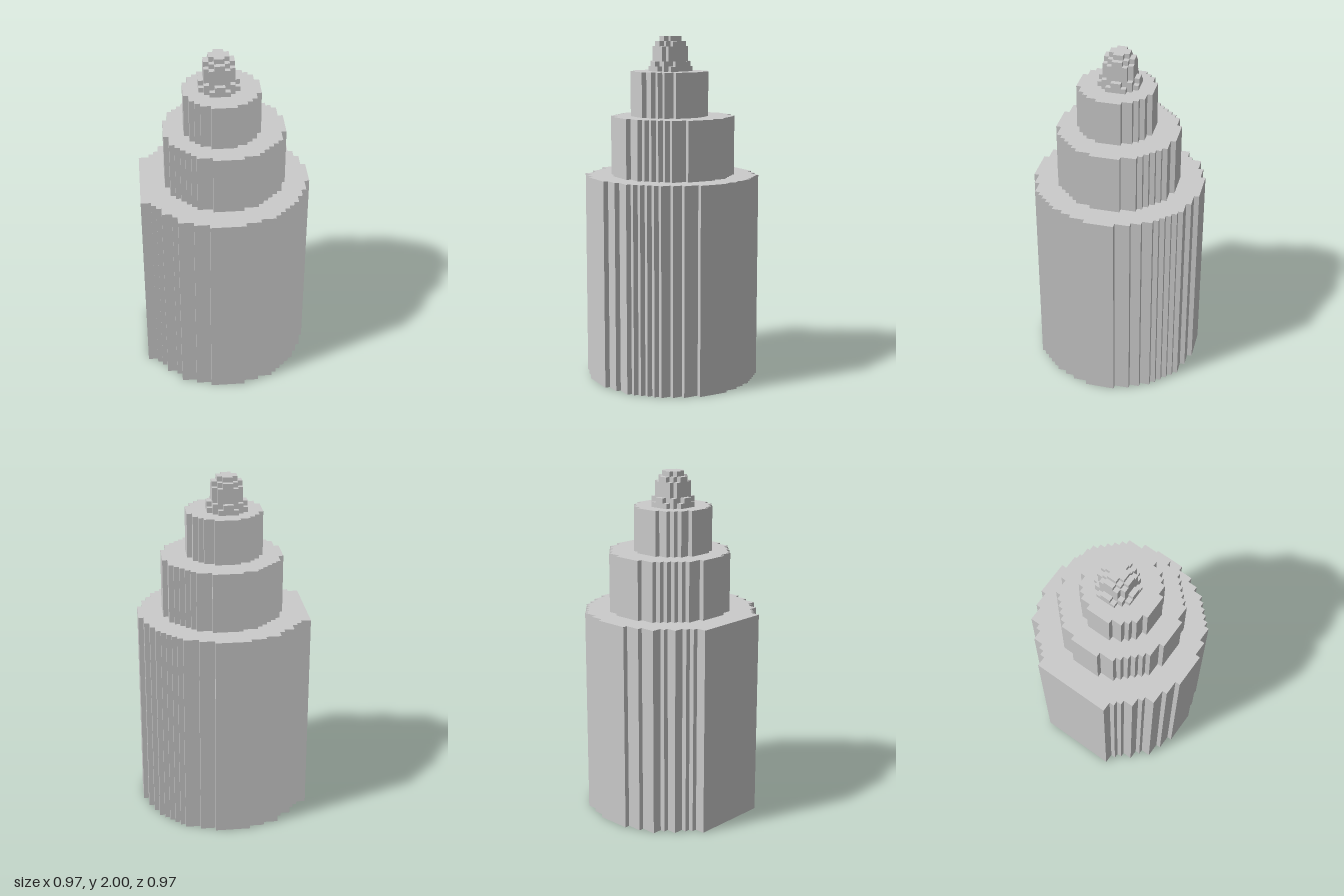
import * as THREE from 'three';

// Everything sits on a grid of small cubes, 70 of them high
const UNIT = 2 / 70;
const material = new THREE.MeshStandardMaterial({ color: 0xcccccc, flatShading: true });

// Stair-stepped quarter outline; each step is [depth reached, half width up to there]
function stairs(steps) {
  const points = [];
  let from = 0;
  for (const [depth, width] of steps) {
    if (from > 0) points.push([width, from]);
    points.push([width, depth]);
    from = depth;
  }
  return points;
}

// A stepped disc between two heights, mirrored front to back
function tier(name, bottom, top, cx, cz, right, left = right) {
  const r = stairs(right);
  const l = stairs(left);
  const outline = [
    ...r.map(([x, z]) => [x, -z]).reverse(),
    ...r,
    ...l.map(([x, z]) => [-x, z]).reverse(),
    ...l.map(([x, z]) => [-x, -z]),
  ];
  const shape = new THREE.Shape(
    outline.map(([x, z]) => new THREE.Vector2((x + cx) * UNIT, (z - cz) * UNIT))
  );
  const geometry = new THREE.ExtrudeGeometry(shape, {
    depth: (top - bottom) * UNIT,
    bevelEnabled: false,
  });
  geometry.rotateX(-Math.PI / 2);
  geometry.translate(0, bottom * UNIT, 0);
  const mesh = new THREE.Mesh(geometry, material);
  mesh.name = name;
  return mesh;
}

export function createModel() {
  const model = new THREE.Group();
  model.name = 'steppedTower';

  // Wide base, with a flat wall on its -x side
  model.add(tier('base', 0, 42, 0, 0,
    [[3, 17], [6, 16], [8, 15], [10, 14], [11, 13], [12, 12], [13, 11], [14, 10], [15, 9], [16, 6], [17, 3]],
    [[8, 17], [9, 15], [10, 14], [12, 13], [13, 11], [15, 10], [16, 7], [17, 4]]));

  // Middle and upper tiers
  model.add(tier('middleTier', 42, 54, 0, 0,
    [[3, 12], [6, 11], [7, 10], [8, 9], [9, 8], [10, 7], [11, 6], [12, 3]]));
  model.add(tier('upperTier', 54, 63, -0.5, 0.5,
    [[2.5, 7.5], [4.5, 6.5], [5.5, 5.5], [6.5, 4.5], [7.5, 2.5]]));

  // Small rounded finial, built from thin layers
  const finial = new THREE.Group();
  finial.name = 'finial';
  const layers = [
    ['finialFoot', 63, 64, [[2, 4], [3, 3], [4, 2]]],
    ['finialCollar', 64, 65, [[1, 4], [3, 3], [4, 1]]],
    ['finialBody', 65, 68, [[2, 3], [3, 2]]],
    ['finialShoulder', 68, 69, [[1, 3], [2, 2], [3, 1]]],
    ['finialCap', 69, 70, [[1, 2], [2, 1]]],
  ];
  for (const [name, bottom, top, steps] of layers) {
    finial.add(tier(name, bottom, top, -1, 0, steps));
  }
  model.add(finial);

  return model;
}
